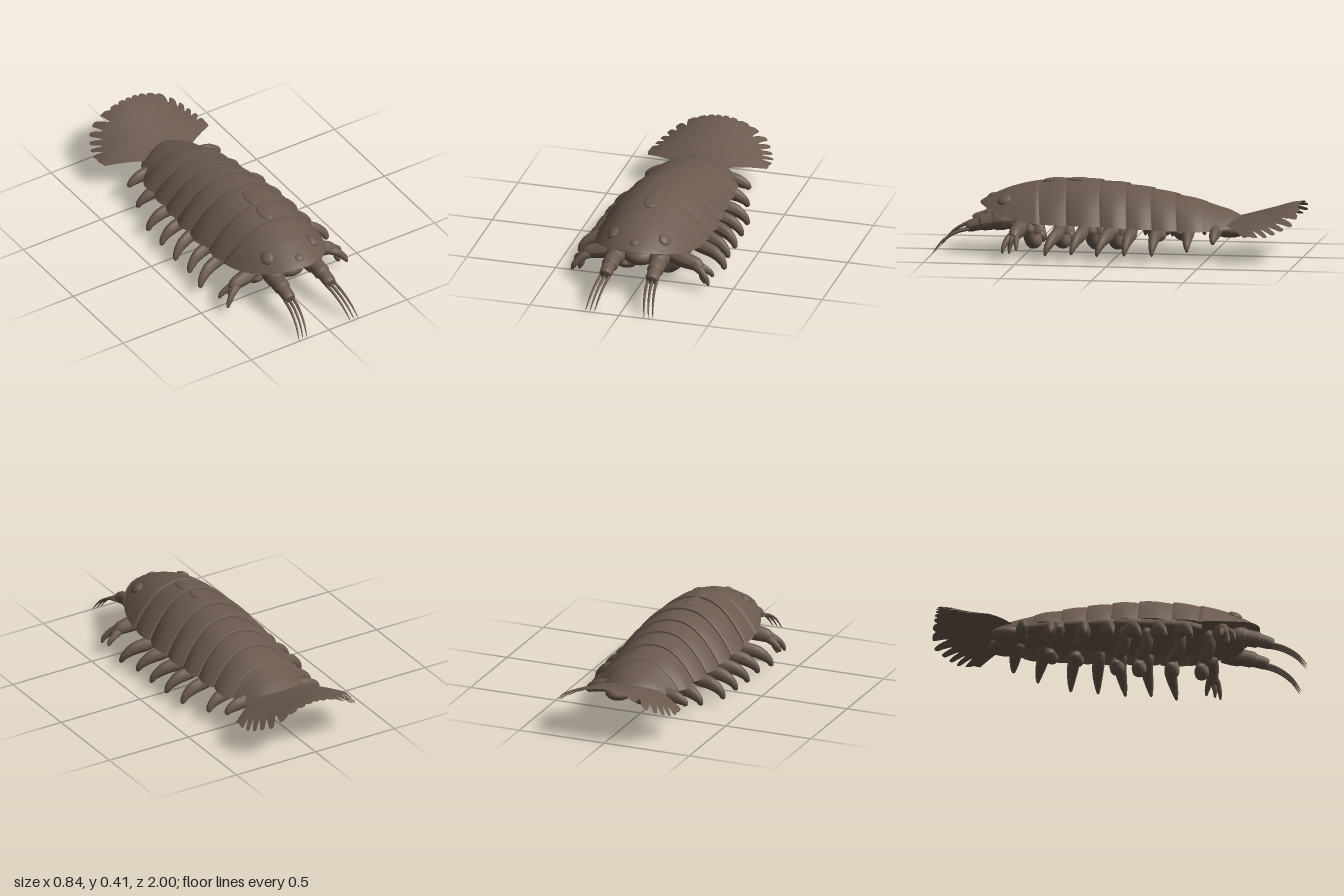
import * as THREE from 'three';

const shellBrown = new THREE.MeshStandardMaterial({ color: 0x6b5a4e, side: THREE.DoubleSide });
shellBrown.name = 'shell brown';

// piecewise linear lookup in [[key, value], ...] with rising keys
function lookup(table, k) {
  if (k <= table[0][0]) return table[0][1];
  for (let i = 1; i < table.length; i++) {
    const [k0, v0] = table[i - 1], [k1, v1] = table[i];
    if (k <= k1) return v0 + (v1 - v0) * (k - k0) / (k1 - k0);
  }
  return table[table.length - 1][1];
}

// surface from a rule f(u, v) -> [x, y, z], u and v in 0..1
function sheet(nu, nv, f) {
  const pos = [], idx = [];
  for (let j = 0; j <= nv; j++) for (let i = 0; i <= nu; i++) pos.push(...f(i / nu, j / nv));
  for (let j = 0; j < nv; j++) for (let i = 0; i < nu; i++) {
    const a = j * (nu + 1) + i, b = a + nu + 1;
    idx.push(a, a + 1, b, b, a + 1, b + 1);
  }
  const g = new THREE.BufferGeometry();
  g.setAttribute('position', new THREE.Float32BufferAttribute(pos, 3));
  g.setIndex(idx);
  g.computeVertexNormals();
  return g;
}

// tapered limb; each point is [x, y, z, radius along ref, radius across]
function limb(points, ref = [0, 0, 1], rows = 18, sides = 12) {
  const curve = new THREE.CatmullRomCurve3(points.map(p => new THREE.Vector3(p[0], p[1], p[2])));
  const last = points.length - 1, R = new THREE.Vector3(...ref);
  return sheet(sides, rows, (u, v) => {
    const c = curve.getPoint(v), t = curve.getTangent(v);
    const a = R.clone().addScaledVector(t, -R.dot(t)).normalize();
    const b = t.clone().cross(a);
    const i = Math.min(last - 1, Math.floor(v * last)), f = v * last - i;
    const cap = v === 0 || v === 1 ? 0 : 1;
    const ra = cap * (points[i][3] * (1 - f) + points[i + 1][3] * f);
    const rb = cap * (points[i][4] * (1 - f) + points[i + 1][4] * f);
    const w = u * Math.PI * 2;
    c.addScaledVector(a, Math.cos(w) * ra).addScaledVector(b, Math.sin(w) * rb);
    return [c.x, c.y, c.z];
  });
}

// body outline against z
const topY = [[-0.7, 0.205], [-0.6, 0.25], [-0.4, 0.31], [-0.2, 0.355], [0, 0.387], [0.15, 0.4], [0.3, 0.4],
  [0.44, 0.385], [0.52, 0.37], [0.6, 0.348], [0.68, 0.315], [0.73, 0.29], [0.76, 0.272]];
const rimY = [[-0.7, 0.175], [-0.5, 0.16], [-0.2, 0.17], [0.1, 0.185], [0.42, 0.19], [0.5, 0.197],
  [0.6, 0.215], [0.68, 0.24], [0.73, 0.258], [0.76, 0.266]];
const halfW = [[-0.67, 0.15], [-0.6, 0.18], [-0.5, 0.212], [-0.42, 0.238], [-0.26, 0.255], [-0.1, 0.27],
  [0.02, 0.284], [0.2, 0.29], [0.36, 0.282], [0.42, 0.282]];

// cross arch of the back: s runs -1..1 from rim to rim
function arch(s, w, top, rim, k) {
  const a = Math.abs(s);
  return [s * w * k, rim + (top - rim) * (1 - Math.pow(a, 2.2)) * k];
}

export function createModel() {
  const model = new THREE.Group();
  const add = (name, geo, parent = model) => {
    const m = new THREE.Mesh(geo, shellBrown);
    m.name = name;
    parent.add(m);
    return m;
  };
  const blob = (name, p, r, parent = model) => {
    const m = add(name, new THREE.SphereGeometry(1, 24, 16), parent);
    m.position.set(...p);
    m.scale.set(...r);
    return m;
  };

  // overlapping back plates with scalloped sides, each with a turned-under rear edge
  const swell = [[0, 0.95], [0.2, 0.985], [0.5, 1.005], [0.9, 1.022], [0.95, 1.0], [1, 0.95]];
  const joints = [0.45, 0.285, 0.1, -0.045, -0.18, -0.315, -0.465];
  for (let n = 0; n < joints.length - 1; n++) {
    const front = joints[n] + 0.02, back = joints[n + 1];
    add('backPlate' + (n + 1), sheet(40, 20, (u, v) => {
      const s = Math.sin((u - 0.5) * Math.PI), q = Math.min(1, v / 0.9);
      const z = front + (back - front) * q;
      const w = lookup(halfW, z) * (1 + 0.07 * Math.sin(Math.PI * Math.pow(q, 1.2)));
      const [x, y] = arch(s, w, lookup(topY, z), lookup(rimY, z), lookup(swell, v));
      return [x, y, z - 0.035 * s * s];
    }));
  }

  // rounded last plate over the tail root
  add('lastBackPlate', sheet(40, 24, (u, v) => {
    const s = Math.sin((u - 0.5) * Math.PI), q = Math.sin(v * Math.PI / 2);
    const z = -0.445 - 0.23 * q;
    const w = lookup(halfW, z) * Math.sqrt(Math.max(0, 1 - Math.pow(q, 6)));
    const [x, y] = arch(s, w, lookup(topY, z), lookup(rimY, z), 1);
    return [x, y, z - 0.03 * (1 - q) * s * s];
  }));

  // head shield, rounded to the front, with an underside
  const headW = [[0.36, 0.286], [0.42, 0.293], [0.5, 0.278], [0.56, 0.26], [0.62, 0.232], [0.67, 0.195],
    [0.71, 0.155], [0.74, 0.105], [0.755, 0.06], [0.76, 0.02]];
  add('headShield', sheet(44, 30, (u, v) => {
    const s = Math.sin((u - 0.5) * Math.PI);
    const z = 0.42 + 0.34 * Math.sin(v * Math.PI / 2);
    const k = v === 0 ? 0.95 : 1.015;
    const [x, y] = arch(s, lookup(headW, z), lookup(topY, z), lookup(rimY, z), k);
    return [x, y, z - 0.035 * s * s * (1 - v)];
  }));
  add('headUnderside', sheet(24, 20, (u, v) => {
    const s = 2 * u - 1, z = 0.42 + 0.335 * Math.sin(v * Math.PI / 2);
    return [s * lookup(headW, z) * 0.97, lookup(rimY, z) + 0.005 - 0.03 * (1 - s * s) * (1 - v), z];
  }));
  blob('mouth', [0, 0.185, 0.56], [0.1, 0.06, 0.12]);

  // eyes and low bumps on the back
  for (const side of [1, -1]) {
    const eye = blob('eye', [side * 0.146, 0.298, 0.61], [0.036, 0.018, 0.04]);
    eye.rotation.set(0.35, 0, -side * 0.6);
  }
  blob('middleEye', [0, 0.301, 0.703], [0.024, 0.012, 0.024]).rotation.x = 0.5;
  blob('backBumpFront', [0, 0.394, 0.36], [0.042, 0.012, 0.065]).rotation.x = 0.1;
  blob('backBumpRear', [0, 0.4, 0.22], [0.035, 0.01, 0.065]);

  // soft belly inside the shell
  add('belly', limb([[0, 0.2, 0.55, 0.12, 0.04], [0, 0.215, 0.35, 0.2, 0.055], [0, 0.215, 0, 0.2, 0.05],
    [0, 0.2, -0.35, 0.17, 0.04], [0, 0.185, -0.64, 0.1, 0.03]], [1, 0, 0], 24, 24));

  // tail fan: nearly straight rear edge, fringed corners that droop more to the rear
  const reach = [[0, 0.5], [0.2, 0.51], [0.39, 0.54], [0.5, 0.548], [0.62, 0.52], [0.78, 0.482], [0.92, 0.43], [0.98, 0.405]];
  add('tailFan', sheet(280, 16, (u, v) => {
    const a = (u - 0.5) * 1.96, m = Math.abs(a);
    const depth = m < 0.36 ? 0.03 : m < 0.84 ? 0.15 : 0.015;
    const notch = Math.pow(0.5 + 0.5 * Math.sin(a * 62 + 1.5 * Math.sin(a * 9)), 3);
    const r = lookup(reach, m) * (0.2 + 0.8 * v) * (1 - depth * notch * v);
    const x = Math.sin(a) * r, z = -0.5 - Math.cos(a) * r;
    const rise = lookup([[-1, 0.308], [-0.94, 0.3], [-0.85, 0.272], [-0.7, 0.23], [-0.6, 0.205], [-0.5, 0.2]], z);
    const droop = 0.088 * (1 + 0.9 * Math.max(0, (-0.75 - z) / 0.25));
    return [x, rise - droop * Math.pow(x / 0.34, 2), z];
  }));

  for (const side of [1, -1]) {
    const half = new THREE.Group();
    half.name = side > 0 ? 'leftLimbs' : 'rightLimbs';
    model.add(half);
    const put = (name, pts, ref, rows, sides) =>
      add(name, limb(pts.map(([x, ...rest]) => [x * side, ...rest]), ref, rows, sides), half);

    // rounded lobe under the tail
    blob('tailLobe', [side * 0.075, 0.157, -0.61], [0.075, 0.046, 0.1], half);

    // outer walking legs: z, reach, tip height, forward sweep of the tip
    for (const [z, r, tip, dz] of [[0.3, 0.418, 0.035, 0.05], [0.17, 0.398, 0.04, 0.04], [0.025, 0.398, 0.035, 0.045],
      [-0.095, 0.392, 0.04, 0.015], [-0.23, 0.382, 0.04, 0], [-0.4, 0.33, 0.06, -0.015], [-0.55, 0.3, 0.1, 0]]) {
      const h = 0.18 - tip;
      put('walkingLeg', [[r - 0.27, 0.18, z, 0.028, 0.03], [r - 0.16, tip + h * 0.72, z, 0.034, 0.04],
        [r - 0.075, tip + h * 0.56, z + dz * 0.4, 0.028, 0.036], [r - 0.024, tip + h * 0.27, z + dz * 0.8, 0.017, 0.023],
        [r - 0.01, tip, z + dz, 0.006, 0.012]]);
    }

    // inner curled legs under the belly
    for (const [z, s] of [[0.46, 1], [0.3, 0.97], [0.12, 0.97], [0, 0.95], [-0.22, 0.55], [-0.36, 0.45]]) {
      const y = h => 0.18 - h * s;
      put('innerLeg', [[0.205, y(0), z, 0.028, 0.03], [0.175, y(0.07), z + 0.01, 0.032, 0.034],
        [0.125, y(0.115), z - 0.005, 0.036, 0.032], [0.08, y(0.11), z - 0.015, 0.034, 0.03],
        [0.055, y(0.08), z - 0.02, 0.018, 0.018]]);
    }

    // grasping claws beside the head
    put('clawArm', [[0.12, 0.18, 0.5, 0.04, 0.04], [0.23, 0.15, 0.52, 0.042, 0.045],
      [0.3, 0.135, 0.53, 0.034, 0.038], [0.335, 0.115, 0.54, 0.025, 0.022]]);
    for (const [x, y, dz] of [[0.385, 0.04, 0.05], [0.39, 0.06, -0.02], [0.355, 0.035, 0.02]])
      put('clawFinger', [[0.27, 0.135, 0.53, 0.022, 0.025], [0.33, 0.115, 0.53 + dz * 0.6, 0.019, 0.022],
        [x - 0.015, (y + 0.11) / 2, 0.53 + dz, 0.012, 0.017], [x, y, 0.53 + dz * 1.1, 0.005, 0.007]]);

    // feeler base with stepped joint rings, and three long bristles
    put('feelerBase', [[0.11, 0.19, 0.56, 0.05, 0.05], [0.12, 0.187, 0.62, 0.056, 0.056], [0.124, 0.18, 0.665, 0.053, 0.053],
      [0.126, 0.178, 0.675, 0.045, 0.046], [0.128, 0.168, 0.735, 0.045, 0.044], [0.129, 0.165, 0.745, 0.037, 0.037],
      [0.13, 0.15, 0.8, 0.036, 0.033], [0.13, 0.143, 0.82, 0.029, 0.026]], [1, 0, 0], 42, 16);
    for (let i = 0; i < 3; i++) {
      const x = 0.106 + i * 0.025;
      put('bristle', [[x, 0.14, 0.79, 0.009, 0.009], [x + 0.008, 0.118, 0.87, 0.008, 0.008],
        [x + 0.02, 0.07, 0.945, 0.006, 0.006], [x + 0.034, 0, 1, 0.0015, 0.0015]], [1, 0, 0], 16, 8);
    }
  }
  return model;
}
